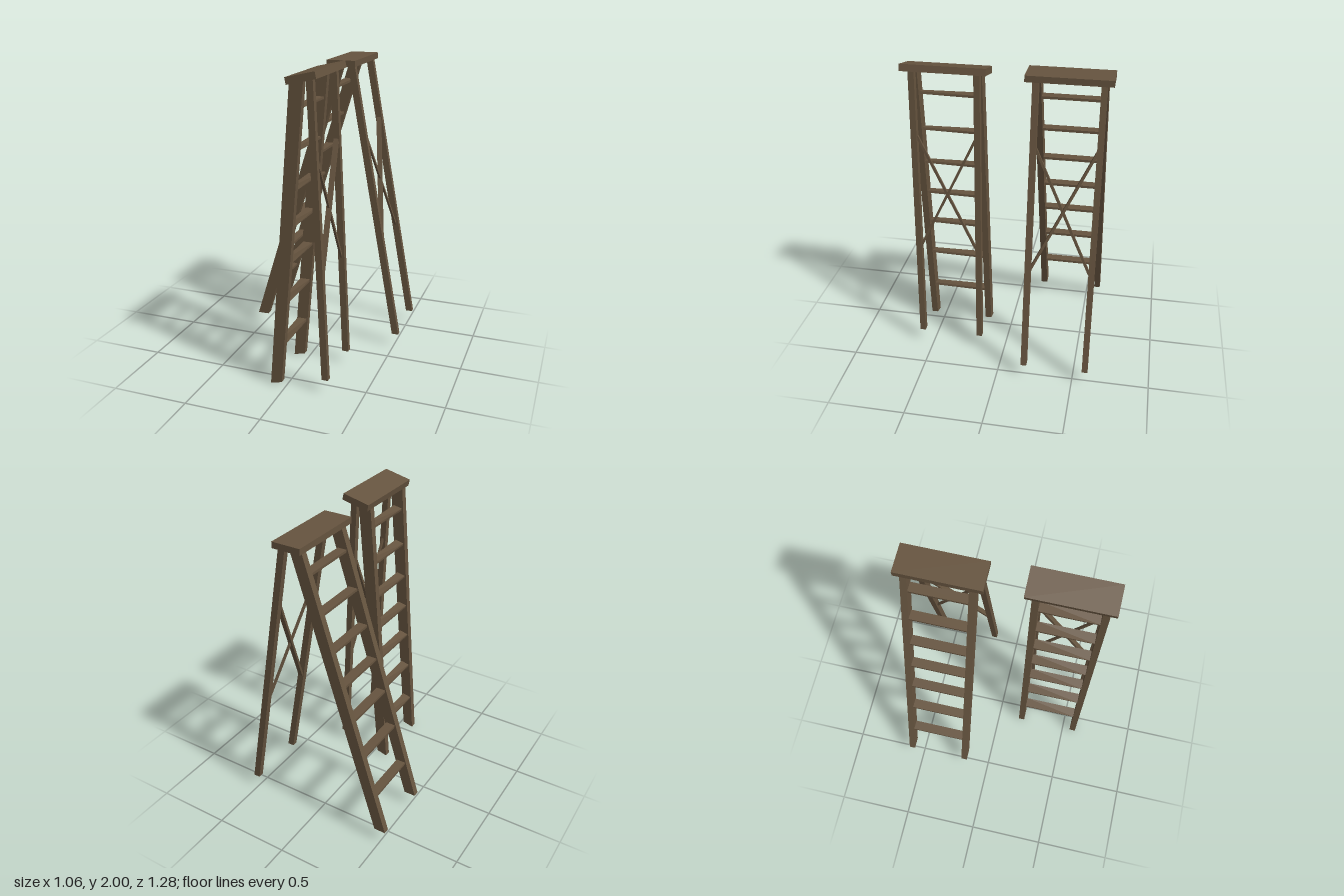
import * as THREE from 'three';

const wood = new THREE.MeshStandardMaterial({ color: 0x66543f });
wood.name = 'dark wood';

// Flat side profile in x/y, extruded between two z values
function slab(name, points, z0, z1) {
  const shape = new THREE.Shape(points.map(([x, y]) => new THREE.Vector2(x, y)));
  const geo = new THREE.ExtrudeGeometry(shape, { depth: z1 - z0, bevelEnabled: false });
  geo.translate(0, 0, z0);
  const mesh = new THREE.Mesh(geo, wood);
  mesh.name = name;
  return mesh;
}

// Step spanning the rails, its tilt changing from the -z end to the +z end
function tread(x, y, z0, z1, width, thick, tilt0, tilt1) {
  let geo = new THREE.BoxGeometry(width, thick, z1 - z0);
  const p = geo.attributes.position;
  for (let i = 0; i < p.count; i++) {
    const a = p.getZ(i) > 0 ? tilt1 : tilt0;
    const u = p.getX(i), v = p.getY(i);
    p.setX(i, u * Math.cos(a) - v * Math.sin(a));
    p.setY(i, u * Math.sin(a) + v * Math.cos(a));
  }
  geo = geo.toNonIndexed();
  geo.computeVertexNormals();
  const mesh = new THREE.Mesh(geo, wood);
  mesh.position.set(x, y, (z0 + z1) / 2);
  mesh.name = 'tread';
  return mesh;
}

// Slim diagonal strip between two points, width measured along x
function brace(a, b, width) {
  const dir = b.clone().sub(a);
  const side = new THREE.Vector3(0, -dir.z, dir.y).normalize();
  let geo = new THREE.BoxGeometry(width, 0.016, 1);
  const p = geo.attributes.position;
  for (let i = 0; i < p.count; i++) {
    const v = a.clone().addScaledVector(dir, p.getZ(i) + 0.5).addScaledVector(side, -p.getY(i));
    v.x += p.getX(i);
    p.setXYZ(i, v.x, v.y, v.z);
  }
  // Reverse the winding where the strip frame is mirrored
  if (dir.z * side.y - dir.y * side.z > 0) {
    const idx = geo.index.array;
    for (let i = 0; i < idx.length; i += 3) [idx[i], idx[i + 1]] = [idx[i + 1], idx[i]];
  }
  geo = geo.toNonIndexed();
  geo.computeVertexNormals();
  const mesh = new THREE.Mesh(geo, wood);
  mesh.name = 'crossBrace';
  return mesh;
}

// Interpolates the middle of a leg profile (bottom pair, then top pair) at height y
function centreX([bl, br, tr, tl], y) {
  const y0 = (bl[1] + br[1]) / 2, y1 = (tl[1] + tr[1]) / 2;
  return THREE.MathUtils.lerp((bl[0] + br[0]) / 2, (tl[0] + tr[0]) / 2, (y - y0) / (y1 - y0));
}

function ladder(o) {
  const g = new THREE.Group();
  g.name = o.name;
  g.add(slab('topBoard', o.top, o.topZ[0], o.topZ[1]));
  const [n0, n1, f0, f1] = o.legZ;
  for (const [a, b] of [[n0, n1], [f0, f1]]) {
    g.add(slab('stepRail', o.rail, a, b));
    g.add(slab('rearLeg', o.leg, a + 0.002, b - 0.002));
  }
  for (const y of o.treadY)
    g.add(tread(centreX(o.rail, y), y, n1 - 0.003, f0 + 0.003, 0.063, 0.016, o.tilt[0], o.tilt[1]));

  // Crossed braces between the rear legs
  const at = (y, z) => new THREE.Vector3(centreX(o.leg, y), y, z);
  g.add(brace(at(1.53, n1 - 0.005), at(0.76, f0 + 0.005), 0.032));
  g.add(brace(at(0.76, n1 - 0.005), at(1.53, f0 + 0.005), 0.014));
  return g;
}

export function createModel() {
  const model = new THREE.Group();
  model.name = 'twoStepladders';
  // Opened ladder standing level
  model.add(ladder({
    name: 'openLadder',
    top: [[0.01, 1.93], [0.2, 1.93], [0.2, 1.97], [0.01, 1.97]],
    topZ: [-0.64, -0.115],
    rail: [[-0.533, 0.09], [-0.455, 0.09], [0.11, 1.935], [0.028, 1.935]],
    leg: [[0.485, 0.09], [0.53, 0.09], [0.185, 1.935], [0.14, 1.935]],
    legZ: [-0.603, -0.562, -0.2, -0.158],
    treadY: [0.34, 0.62, 0.87, 1.092, 1.315, 1.548, 1.787],
    tilt: [0, 0],
  }));
  // Nearly closed ladder leaning forward
  model.add(ladder({
    name: 'leaningLadder',
    top: [[0.04, 1.917], [0.22, 1.958], [0.211, 2], [0.031, 1.959]],
    topZ: [0.11, 0.637],
    rail: [[-0.105, 0], [-0.03, 0.02], [0.128, 1.94], [0.042, 1.921]],
    leg: [[0.238, 0.09], [0.28, 0.09], [0.184, 1.953], [0.143, 1.944]],
    legZ: [0.153, 0.195, 0.556, 0.598],
    treadY: [0.275, 0.565, 0.825, 1.06, 1.29, 1.532, 1.78],
    tilt: [0, 0.22],
  }));
  return model;
}
